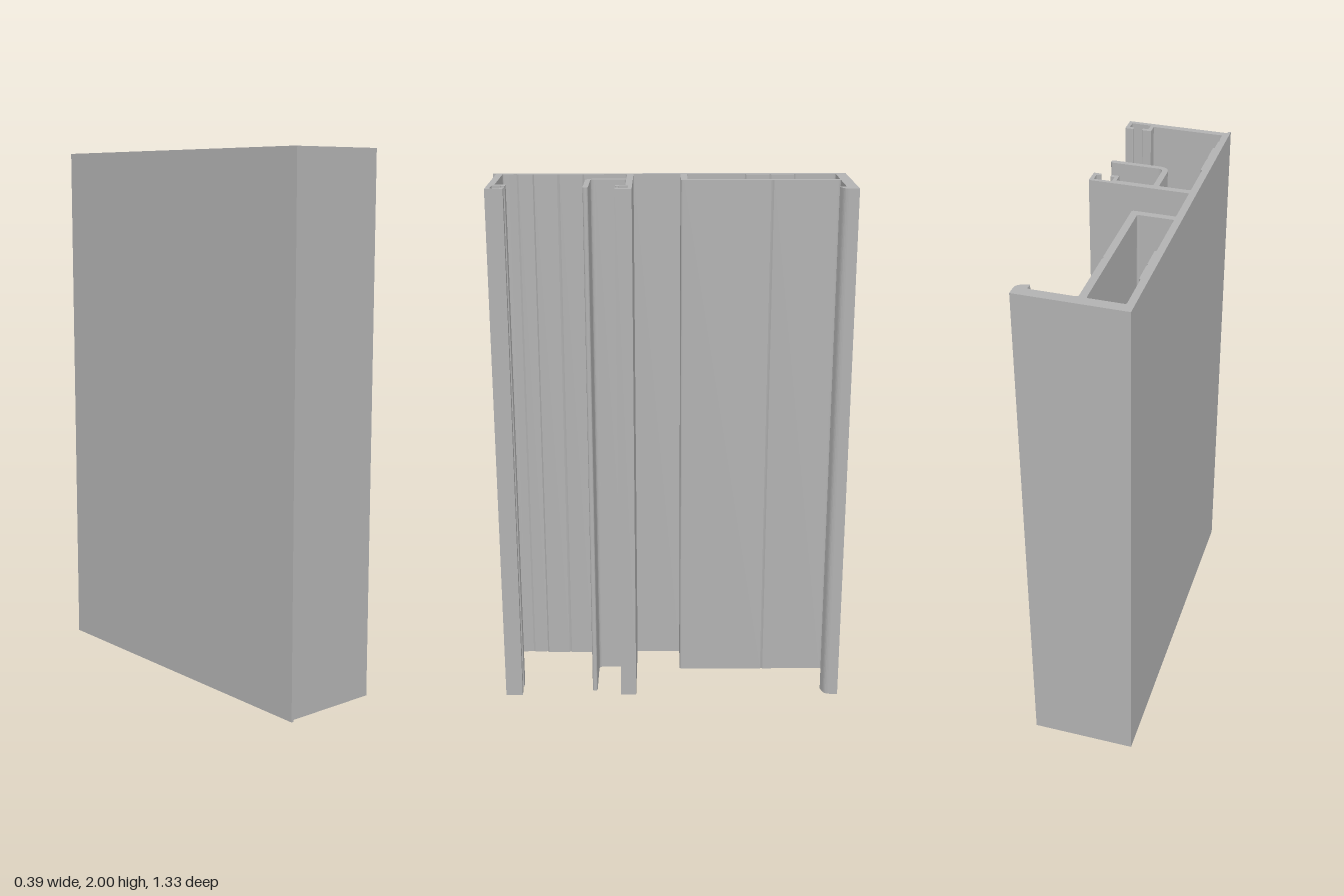
import * as THREE from 'three';

const HEIGHT = 2;

// Closed path through [x, z, cornerRadius] points; z maps to -y so the extrusion can be stood upright.
function trace(path, points) {
  const v = points.map(([x, z, r = 0]) => ({ p: new THREE.Vector2(x, -z), r }));
  const toward = (a, b, d) => a.clone().add(b.clone().sub(a).setLength(d));
  v.forEach(({ p, r }, i) => {
    const prev = v[(i + v.length - 1) % v.length].p;
    const next = v[(i + 1) % v.length].p;
    const start = r ? toward(p, prev, r) : p;
    if (i === 0) path.moveTo(start.x, start.y);
    else path.lineTo(start.x, start.y);
    if (r) {
      const end = toward(p, next, r);
      path.quadraticCurveTo(p.x, p.y, end.x, end.y);
    }
  });
  path.closePath();
  return path;
}

// Shallow double pad on the inside of the side wall, from z0 to z1
function pad(z0, z1) {
  const m = (z0 + z1) / 2, wall = -0.171, face = -0.165;
  return [
    [wall, z0], [face, z0 + 0.006], [face, m - 0.005], [wall + 0.003, m],
    [face, m + 0.005], [face, z1 - 0.006], [wall, z1],
  ];
}

export function createModel() {
  const group = new THREE.Group();
  const aluminium = new THREE.MeshStandardMaterial({ color: 0xb2b2b2 });
  aluminium.name = 'grey aluminium';

  const profile = trace(new THREE.Shape(), [
    // side wall and back flange with rounded lip
    [-0.197, 0.662], [-0.197, -0.667], [0.195, -0.667],
    [0.195, -0.615, 0.022], [0.148, -0.601, 0.006], [0.153, -0.627, 0.01],
    // box chamber, outer faces
    [-0.016, -0.627, 0.01], [-0.016, -0.384], [-0.02, -0.379], [-0.016, -0.374],
    [-0.016, -0.043, 0.01], [-0.171, -0.043],
    // middle rib with its slotted channel
    [-0.171, 0.133], [0.195, 0.133], [0.195, 0.193], [0.165, 0.193, 0.005],
    [0.165, 0.179, 0.005], [0.181, 0.179], [0.181, 0.147], [0.114, 0.147],
    [0.114, 0.179], [0.13, 0.179, 0.005], [0.13, 0.193, 0.005], [0.1, 0.193],
    [0.1, 0.157],
    // curved hook below the rib
    [-0.035, 0.157, 0.008], [-0.035, 0.288, 0.018], [0.162, 0.288, 0.009],
    [0.162, 0.307, 0.009], [-0.056, 0.307, 0.04], [-0.056, 0.157, 0.008],
    [-0.171, 0.157, 0.008],
    // front chamber wall
    ...pad(0.318, 0.512), [-0.171, 0.565], [-0.175, 0.572], [-0.171, 0.6],
    // front flange with its slotted channel
    [-0.171, 0.624, 0.008], [0.094, 0.624], [0.094, 0.584], [0.13, 0.584, 0.005],
    [0.13, 0.598, 0.005], [0.108, 0.598], [0.108, 0.632], [0.181, 0.632],
    [0.181, 0.598], [0.163, 0.598, 0.005], [0.163, 0.584, 0.005], [0.195, 0.584],
    [0.195, 0.649], [-0.187, 0.649], [-0.187, 0.662],
  ]);

  // closed box chamber
  profile.holes.push(trace(new THREE.Path(), [
    [-0.171, -0.627, 0.008], ...pad(-0.475, -0.285), [-0.171, -0.068, 0.008],
    [-0.042, -0.068, 0.008], [-0.042, -0.627, 0.008],
  ]));

  const geometry = new THREE.ExtrudeGeometry(profile, {
    depth: HEIGHT, bevelEnabled: false, curveSegments: 6,
  });
  geometry.rotateX(-Math.PI / 2);

  const extrusion = new THREE.Mesh(geometry, aluminium);
  extrusion.name = 'frameExtrusion';
  group.add(extrusion);
  return group;
}
